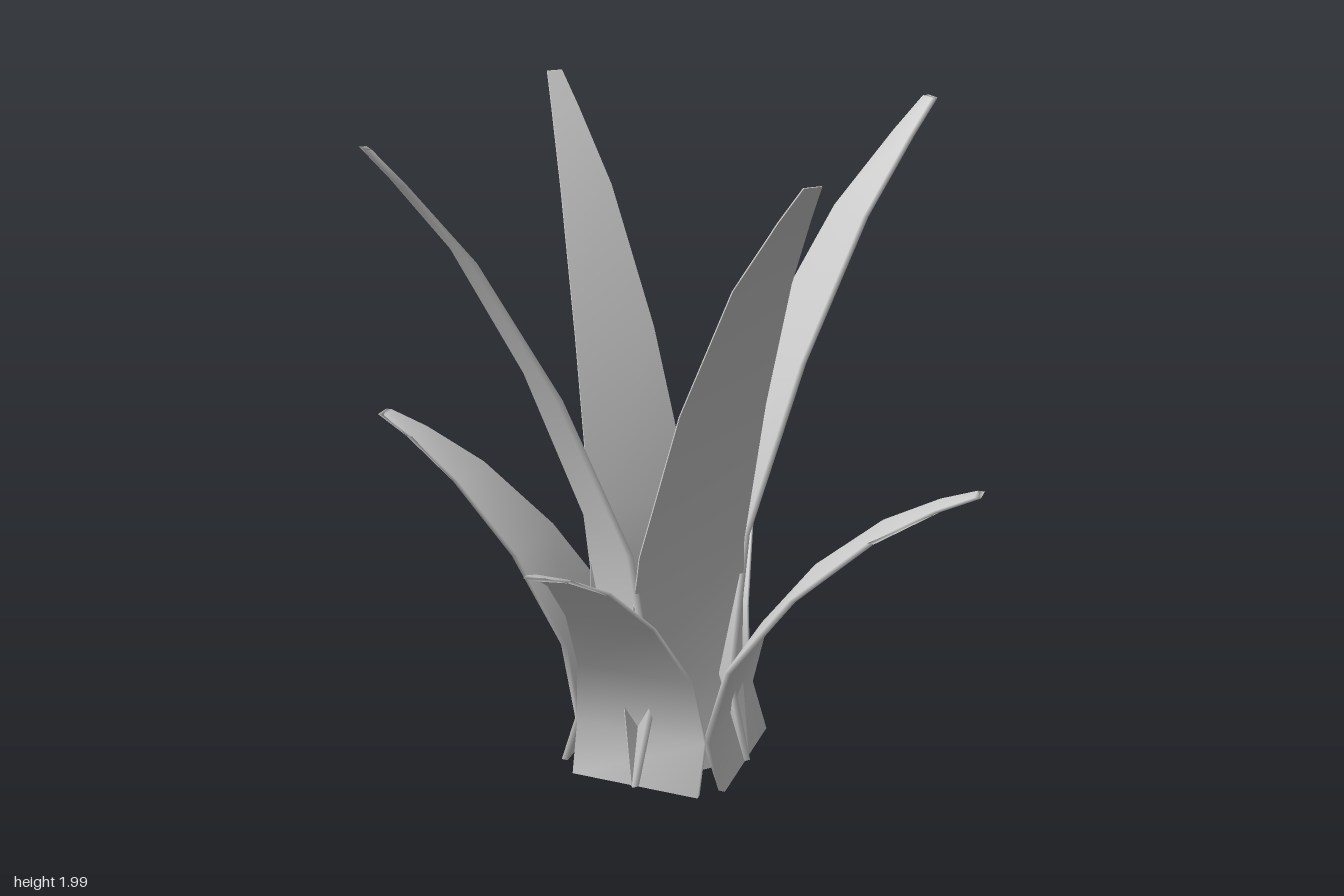
import * as THREE from 'three';
import { mergeVertices, toCreasedNormals } from 'three/addons/utils/BufferGeometryUtils.js';

// Leaf rows from base to tip: [distance from centre, height, half width]
const TALL = [
  [0.19, 0.01, 0.2], [0.13, 0.3, 0.2], [0.19, 0.77, 0.17], [0.385, 1.27, 0.132],
  [0.605, 1.68, 0.085], [0.775, 1.9, 0.045], [0.86, 2.0, 0.025],
];
const SHORT = [
  [0.26, 0.01, 0.205], [0.21, 0.17, 0.208], [0.265, 0.4, 0.18], [0.445, 0.65, 0.134],
  [0.66, 0.85, 0.09], [0.835, 0.96, 0.05], [0.945, 1.01, 0.027],
];

// A thin box bent along the rows, leaning towards +z
function leafGeometry(rows, thickness, smooth) {
  const n = rows.length - 1;
  let geo = new THREE.BoxGeometry(2, n, 1, 1, n, 1);
  const pos = geo.attributes.position;
  for (let i = 0; i < pos.count; i++) {
    const [r, y, half] = rows[Math.round(pos.getY(i) + n / 2)];
    pos.setXYZ(i, pos.getX(i) * half, y, r + pos.getZ(i) * thickness);
  }
  geo.deleteAttribute('uv');
  geo.deleteAttribute('normal');
  geo = mergeVertices(geo);
  geo.computeVertexNormals();
  return smooth ? geo : toCreasedNormals(geo, Math.PI / 4);
}

export function createModel() {
  const group = new THREE.Group();
  const material = new THREE.MeshStandardMaterial({ color: 0xcccccc, side: THREE.DoubleSide });

  const tallFlat = leafGeometry(TALL, 0.006, false);
  const tallSoft = leafGeometry(TALL, 0.02, true);
  const shortSoft = leafGeometry(SHORT, 0.02, true);

  // Tall leaves on the axes and short ones on the diagonals
  for (let i = 0; i < 8; i++) {
    const isShort = i % 2 === 1;
    const geo = isShort ? shortSoft : i % 4 === 0 ? tallFlat : tallSoft;
    const leaf = new THREE.Mesh(geo, material);
    leaf.name = (isShort ? 'shortLeaf' : 'tallLeaf') + (Math.floor(i / 2) + 1);
    leaf.rotation.y = (i * Math.PI) / 4;
    group.add(leaf);
  }
  return group;
}
